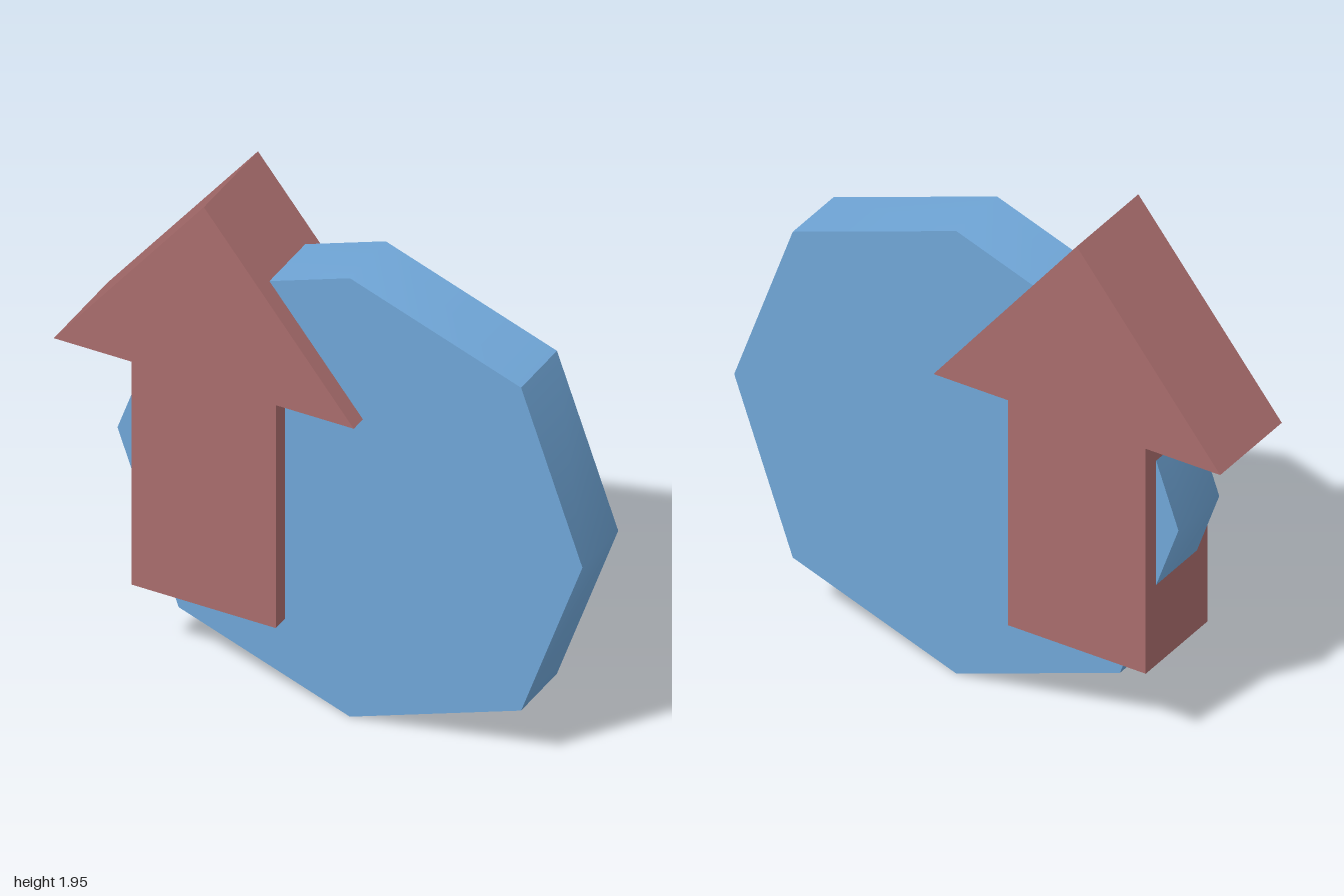
import * as THREE from 'three';
import { toCreasedNormals } from 'three/addons/utils/BufferGeometryUtils.js';

// Flat plate: an outline in x/y, given thickness centred on z = 0
function plate(name, points, depth, color) {
  const shape = new THREE.Shape(points.map(([x, y]) => new THREE.Vector2(x, y)));
  const geometry = new THREE.ExtrudeGeometry(shape, { depth, bevelEnabled: false });
  geometry.translate(0, 0, -depth / 2);
  const material = new THREE.MeshStandardMaterial({ color });
  const mesh = new THREE.Mesh(toCreasedNormals(geometry, Math.PI / 4), material);
  mesh.name = name;
  return mesh;
}

export function createModel() {
  const group = new THREE.Group();
  group.name = 'arrowOnDisc';

  // Eight-sided disc, its diagonal corners pushed slightly outwards
  const cx = 0.105, cy = 0.895;
  const octagon = [];
  for (let i = 0; i < 8; i++) {
    const a = (i * Math.PI) / 4;
    const r = i % 2 ? 0.932 : 0.895;
    octagon.push([cx + r * Math.cos(a), cy + r * Math.sin(a)]);
  }
  group.add(plate('disc', octagon, 0.255, 0x6fa5d6));

  // Upright arrow, thicker than the disc so it shows on both faces
  const arrow = [
    [-0.7, 0.32], [-0.145, 0.32], [-0.145, 1.23], [0.155, 1.23],
    [-0.422, 1.95], [-1, 1.23], [-0.7, 1.23],
  ];
  group.add(plate('arrow', arrow, 0.385, 0xa86c6c));

  return group;
}
